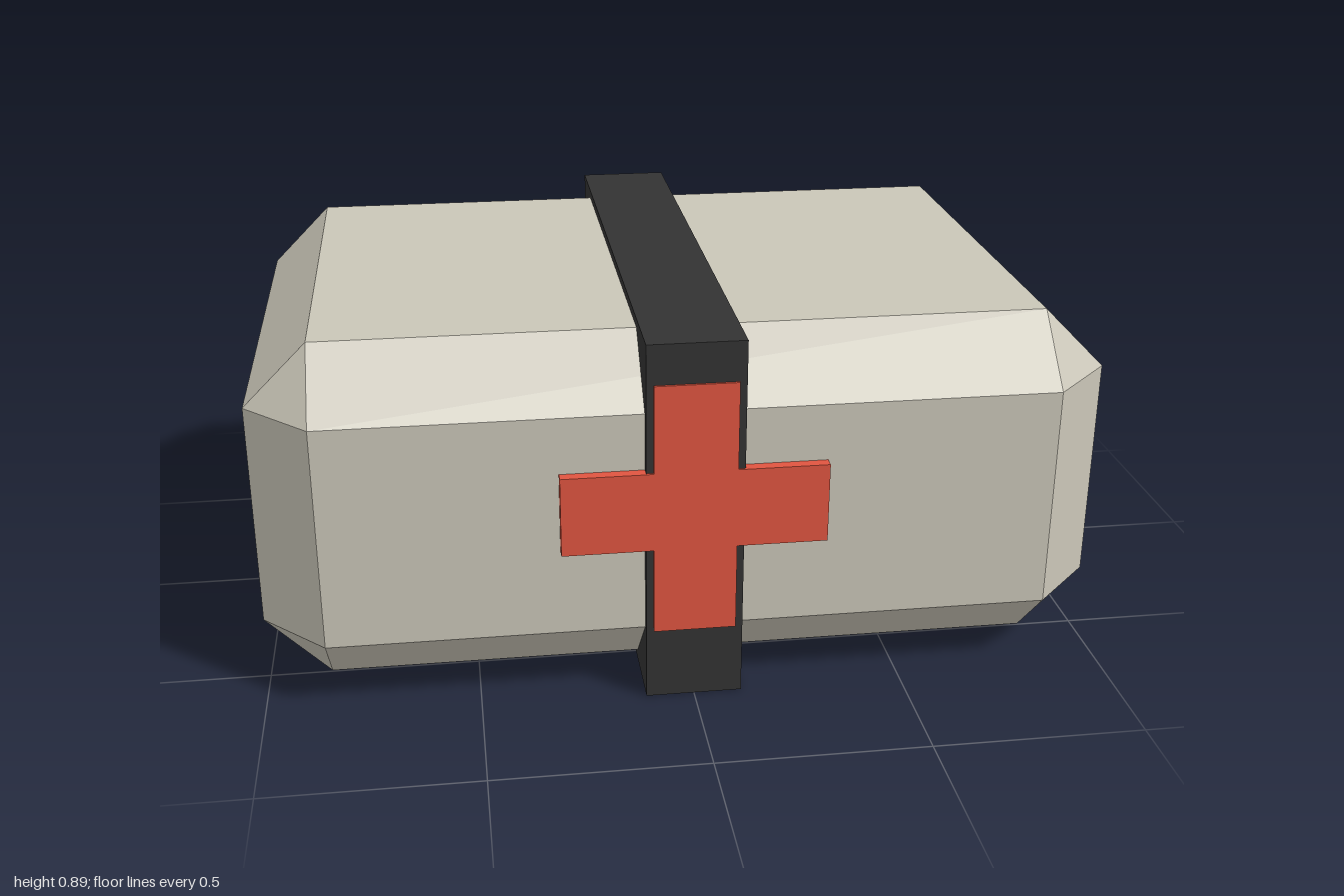
import * as THREE from 'three';
import { ConvexGeometry } from 'three/addons/geometries/ConvexGeometry.js';

const material = (color) => new THREE.MeshStandardMaterial({ color, flatShading: true });

// Box whose edges are bevelled by c, with a triangle at every corner
function chamferedBox(w, h, d, c) {
  const points = [];
  for (const sx of [-1, 1]) for (const sy of [-1, 1]) for (const sz of [-1, 1]) {
    const [x, y, z] = [w / 2, h / 2, d / 2];
    points.push(
      new THREE.Vector3(sx * x, sy * (y - c), sz * (z - c)),
      new THREE.Vector3(sx * (x - c), sy * y, sz * (z - c)),
      new THREE.Vector3(sx * (x - c), sy * (y - c), sz * z));
  }
  return new ConvexGeometry(points);
}

// Plus-shaped outline with arm reach r and half width a
function crossShape(r, a) {
  return new THREE.Shape([
    [a, a], [a, r], [-a, r], [-a, a], [-r, a], [-r, -a],
    [-a, -a], [-a, -r], [a, -r], [a, -a], [r, -a], [r, a],
  ].map(([x, y]) => new THREE.Vector2(x, y)));
}

export function createModel() {
  const group = new THREE.Group();
  const add = (name, geometry, color, x, y, z) => {
    const mesh = new THREE.Mesh(geometry, material(color));
    mesh.name = name;
    mesh.position.set(x, y, z);
    group.add(mesh);
  };

  // Bevelled case
  add('caseBody', chamferedBox(2, 0.84, 1.38, 0.15), 0xcac6b8, 0, 0.445, -0.003);

  // Square band around the middle
  add('strap', new THREE.BoxGeometry(0.226, 0.886, 1.422), 0x333333, 0, 0.443, -0.003);

  // Raised cross on the front
  const cross = new THREE.ExtrudeGeometry(crossShape(0.307, 0.096), { depth: 0.034, bevelEnabled: false });
  add('frontCross', cross, 0xe05540, 0, 0.483, 0.68);

  return group;
}
